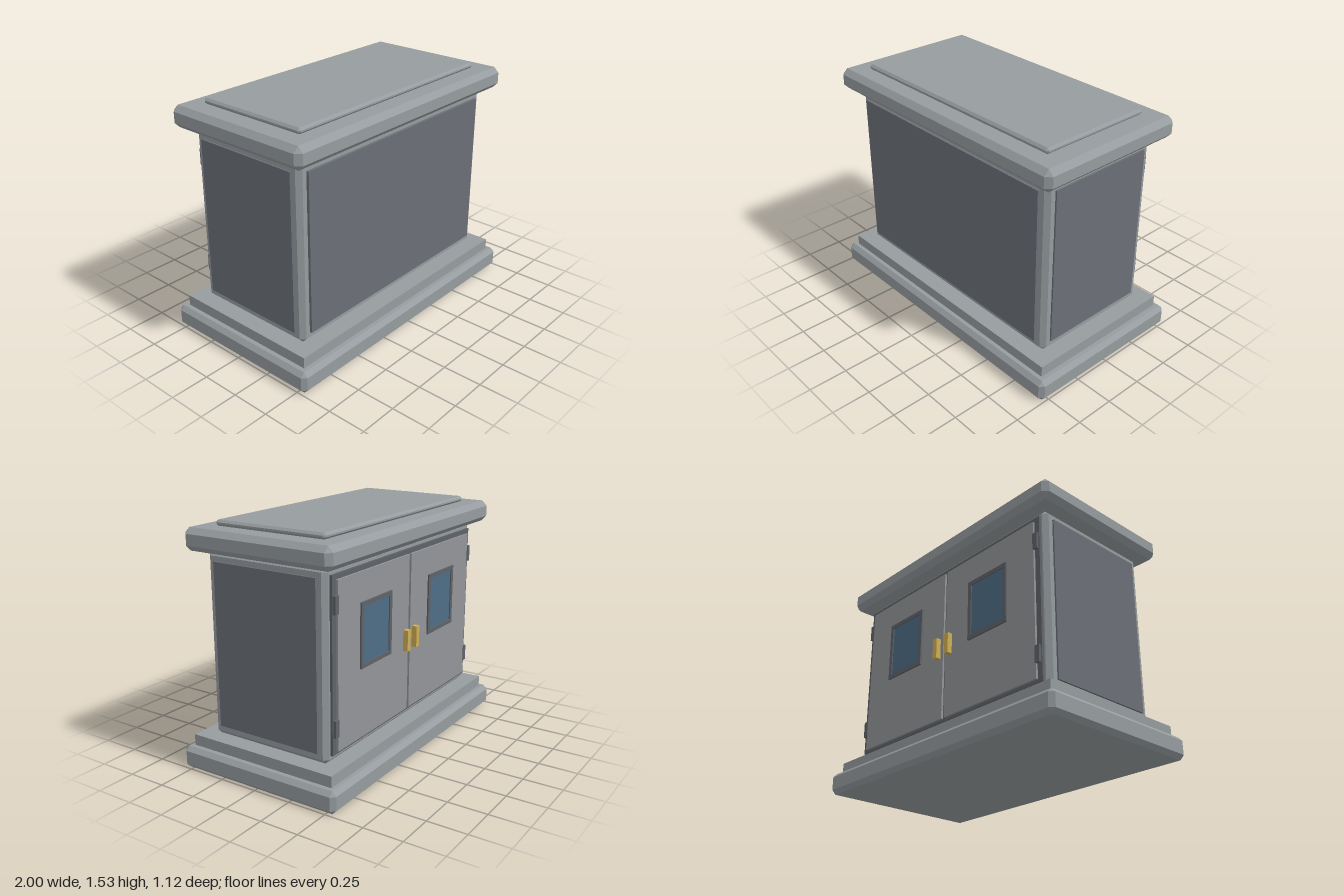
import * as THREE from 'three';
import { ConvexGeometry } from 'three/addons/geometries/ConvexGeometry.js';

const mat = (name, color) => new THREE.MeshStandardMaterial({ name, color });

// Box with every edge cut at 45 degrees, as the hull of its 24 corner points
function chamferBox(w, h, d, c) {
  const points = [];
  for (const x of [-1, 1]) for (const y of [-1, 1]) for (const z of [-1, 1]) {
    for (let axis = 0; axis < 3; axis++) {
      const inset = [c, c, c];
      inset[axis] = 0;
      points.push(new THREE.Vector3(
        x * (w / 2 - inset[0]), y * (h / 2 - inset[1]), z * (d / 2 - inset[2])));
    }
  }
  return new ConvexGeometry(points);
}

// Rectangular ring, extruded along z
function ringGeometry(w, h, border, depth) {
  const rect = (Type, a, b) => new Type([
    new THREE.Vector2(-a, -b), new THREE.Vector2(a, -b),
    new THREE.Vector2(a, b), new THREE.Vector2(-a, b)]);
  const shape = rect(THREE.Shape, w / 2, h / 2);
  shape.holes.push(rect(THREE.Path, w / 2 - border, h / 2 - border));
  return new THREE.ExtrudeGeometry(shape, { depth, bevelEnabled: false });
}

export function createModel() {
  const stone = mat('grey body', 0x969c9f);
  const panel = mat('dark panel', 0x6b6f77);
  const doorGrey = mat('door grey', 0x929599);
  const trim = mat('dark trim', 0x5f6368);
  const glass = mat('blue glass', 0x4e6d85);
  const brass = mat('brass', 0xcfae55);

  const model = new THREE.Group();
  model.name = 'cabinet';

  const add = (parent, name, geometry, material, x, y, z) => {
    const mesh = new THREE.Mesh(geometry, material);
    mesh.name = name;
    mesh.position.set(x, y, z);
    parent.add(mesh);
    return mesh;
  };
  // Box given by its lower and upper limits on each axis
  const block = (parent, name, material, [x0, x1], [y0, y1], [z0, z1], chamfer = 0) => {
    const size = [x1 - x0, y1 - y0, z1 - z0];
    const geometry = chamfer ? chamferBox(...size, chamfer) : new THREE.BoxGeometry(...size);
    return add(parent, name, geometry, material, (x0 + x1) / 2, (y0 + y1) / 2, (z0 + z1) / 2);
  };

  // Stacked plinth, body and top
  block(model, 'base', stone, [-1, 1], [0, 0.14], [-0.56, 0.56], 0.027);
  block(model, 'step', stone, [-0.945, 0.945], [0.13, 0.21], [-0.508, 0.508]);
  block(model, 'body', stone, [-0.858, 0.858], [0.21, 1.355], [-0.418, 0.418], 0.028);
  block(model, 'topSlab', stone, [-0.955, 0.955], [1.355, 1.492], [-0.515, 0.515], 0.034);
  block(model, 'topPlate', stone, [-0.812, 0.812], [1.49, 1.528], [-0.384, 0.384], 0.014);

  // Raised panels on the front and both sides
  block(model, 'frontPanel', panel, [-0.8, 0.8], [0.275, 1.295], [0.4, 0.435]);
  for (const s of [-1, 1]) {
    const side = block(model, s > 0 ? 'leftPanel' : 'rightPanel', panel,
      [-0.014, 0.014], [0.275, 1.295], [-0.36, 0.36]);
    side.position.x = s * 0.855;
  }

  // Backing behind the doors
  block(model, 'doorSurround', trim, [-0.82, 0.82], [0.26, 1.31], [-0.433, -0.4]);

  // Pair of doors on the back, each with a window, a handle and two hinges
  for (const s of [-1, 1]) {
    const door = new THREE.Group();
    door.name = s > 0 ? 'leftDoor' : 'rightDoor';
    model.add(door);

    add(door, 'doorLeaf', new THREE.BoxGeometry(0.773, 1.0, 0.018), doorGrey, s * 0.3975, 0.78, -0.438);
    add(door, 'windowFrame', ringGeometry(0.335, 0.395, 0.027, 0.016), trim, s * 0.395, 0.907, -0.457);
    add(door, 'windowGlass', new THREE.BoxGeometry(0.285, 0.345, 0.006), glass, s * 0.395, 0.907, -0.447);
    add(door, 'handle', new THREE.BoxGeometry(0.036, 0.135, 0.036), brass, s * 0.054, 0.748, -0.462);
    for (const y of [0.423, 1.143]) {
      add(door, 'hinge', new THREE.BoxGeometry(0.034, 0.105, 0.03), trim, s * 0.797, y, -0.436);
    }
  }
  return model;
}
